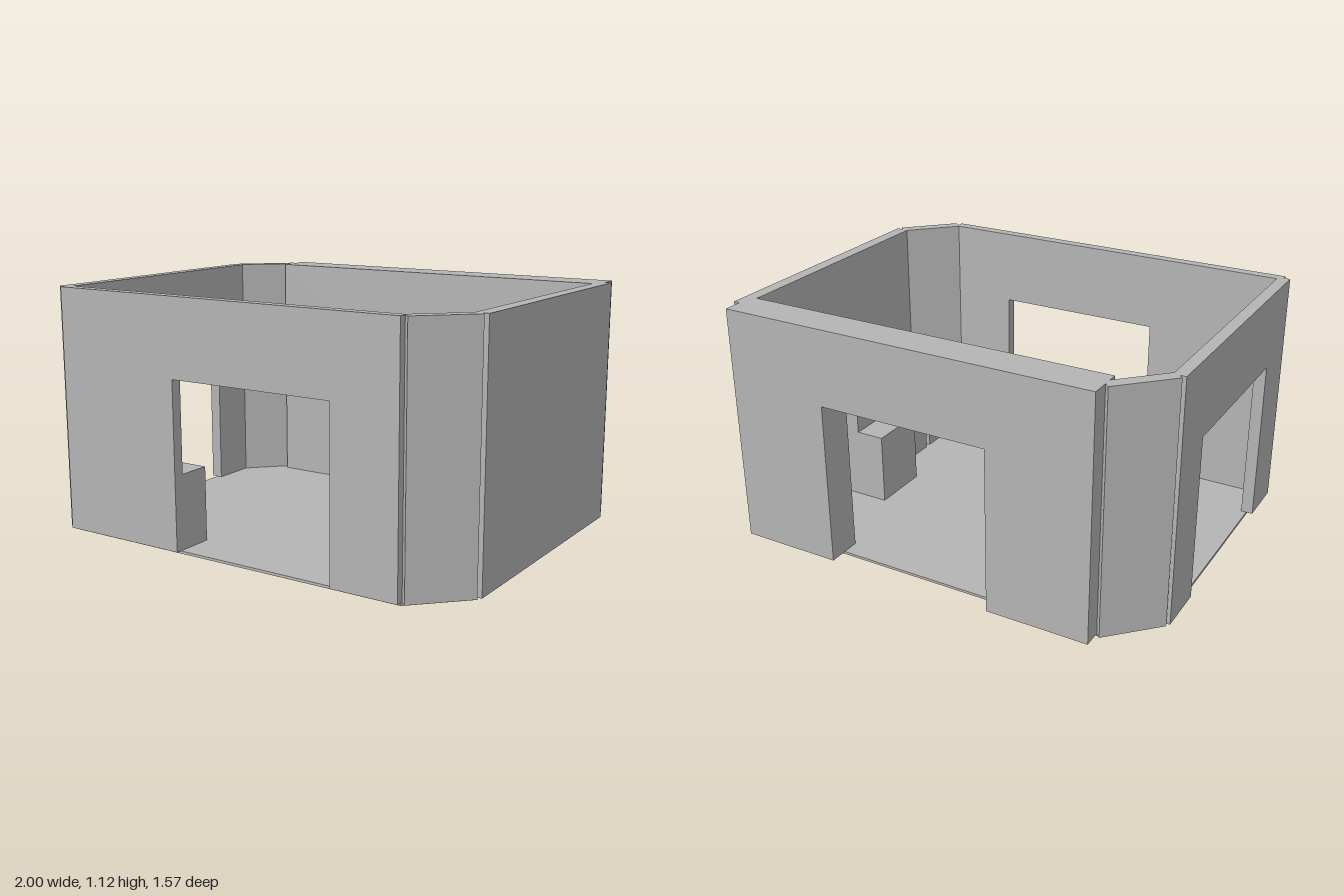
import * as THREE from 'three';

const BASE = 0.012, TOP = 1.12, DOOR_TOP = 0.77;

export function createModel() {
  const model = new THREE.Group();
  model.name = 'room';
  const grey = new THREE.MeshStandardMaterial({ color: 0xb4b4b4 });
  grey.name = 'plain grey';

  function add(name, geometry, parent = model) {
    const mesh = new THREE.Mesh(geometry, grey);
    mesh.name = name;
    parent.add(mesh);
    return mesh;
  }

  // Upright wall from a to b along local x, with an optional doorway open to the floor
  function wall(name, a, b, thickness, door) {
    const outline = [[a, BASE]];
    if (door) {
      const [d0, d1] = door;
      outline.push([d0, BASE], [d0, DOOR_TOP], [d1, DOOR_TOP], [d1, BASE]);
    }
    outline.push([b, BASE], [b, TOP], [a, TOP]);
    const shape = new THREE.Shape(outline.map(p => new THREE.Vector2(...p)));
    return add(name, new THREE.ExtrudeGeometry(shape, { depth: thickness, bevelEnabled: false }));
  }

  // Floor slab with two cut corners, drawn in x and -z
  const floorShape = new THREE.Shape([
    [-0.97, -0.755], [0.76, -0.755], [0.97, -0.545],
    [0.97, 0.70], [-0.77, 0.70], [-0.97, 0.50],
  ].map(p => new THREE.Vector2(...p)));
  const floor = new THREE.ExtrudeGeometry(floorShape, { depth: BASE, bevelEnabled: false });
  floor.rotateX(-Math.PI / 2);
  add('floor', floor);

  // Front and back walls
  wall('frontWall', -0.97, 0.76, 0.05, [-0.34, 0.45]).position.z = 0.73;
  wall('backWall', -0.765, 0.97, 0.165, [-0.295, 0.495]).position.z = -0.785;

  // Side walls, turned so local x runs along z
  const left = wall('leftWall', -0.50, 0.755, 0.055, [-0.27, 0.52]);
  left.rotation.y = -Math.PI / 2;
  left.position.x = -0.945;
  const right = wall('rightWall', -0.70, 0.545, 0.06);
  right.rotation.y = -Math.PI / 2;
  right.position.x = 1;

  // Diagonal walls across two opposite corners
  for (const [name, x, z] of [['backCornerWall', -0.868, -0.60], ['frontCornerWall', 0.868, 0.648]]) {
    const corner = add(name, new THREE.BoxGeometry(0.29, TOP - BASE, 0.055));
    corner.position.set(x, (TOP + BASE) / 2, z);
    corner.rotation.y = Math.PI / 4;
  }

  // Furniture blocks: x range, z range, top height
  const furniture = new THREE.Group();
  furniture.name = 'furniture';
  model.add(furniture);
  for (const [name, x0, x1, z0, z1, top] of [
    ['lowCabinet', -0.62, -0.34, 0.58, 0.73, 0.35],
    ['longCounter', 0.74, 0.90, -0.23, 0.35, 0.47],
    ['seatBlock', 0.605, 0.74, -0.23, 0.05, 0.35],
    ['cornerCabinet', 0.74, 0.90, 0.38, 0.62, 0.47],
  ]) {
    const block = add(name, new THREE.BoxGeometry(x1 - x0, top - BASE, z1 - z0), furniture);
    block.position.set((x0 + x1) / 2, (top + BASE) / 2, (z0 + z1) / 2);
  }

  return model;
}
